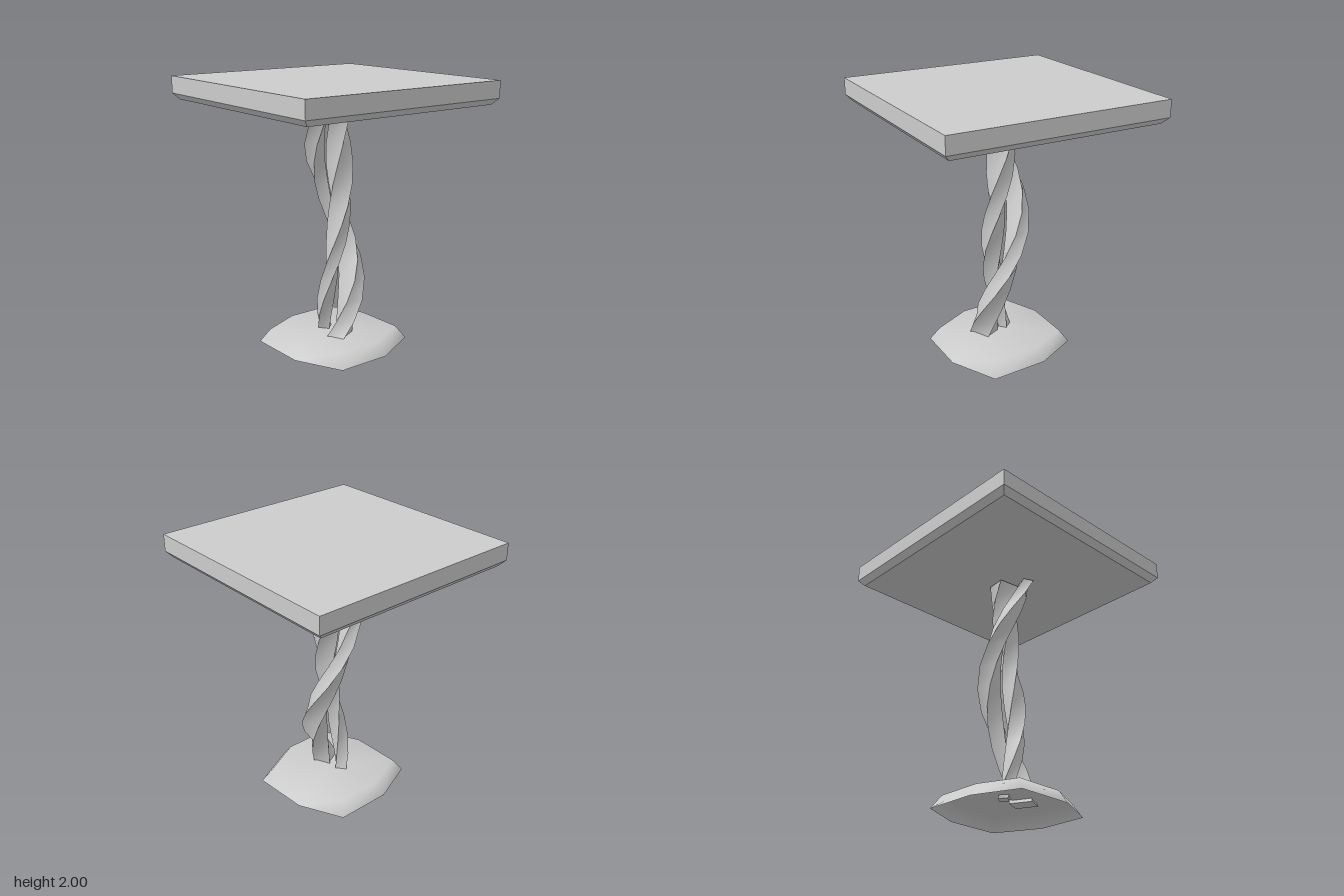
import * as THREE from 'three';
import { mergeGeometries } from 'three/addons/utils/BufferGeometryUtils.js';

const grey = new THREE.MeshStandardMaterial({ color: 0xcccccc });
const flat = new THREE.MeshStandardMaterial({ color: 0xcccccc, flatShading: true });
const twoSided = new THREE.MeshStandardMaterial({ color: 0xcccccc, side: THREE.DoubleSide });

const AXIS = 0.015; // the stem's twist axis sits at x = z = AXIS
const Y0 = 0.1, Y1 = 1.82, TWIST = -Math.PI; // radians per unit of height

function makeGeometry(positions, indices) {
  const g = new THREE.BufferGeometry();
  g.setAttribute('position', new THREE.Float32BufferAttribute(positions, 3));
  g.setIndex(indices);
  g.computeVertexNormals();
  return g;
}

// Rectangular bar twisted round the axis; centre and scale run from bottom to top
function twistedBar({ size, angle, from, to, scale }) {
  const segments = 12, bottom = 0.07;
  const corners = [[-1, 1], [1, 1], [1, -1], [-1, -1]];
  const rings = [];
  for (let i = 0; i <= segments; i++) {
    const y = bottom + (Y1 - bottom) * i / segments;
    const t = (y - Y0) / (Y1 - Y0);
    const k = THREE.MathUtils.lerp(scale[0], scale[1], t) / 2;
    const centre = new THREE.Vector2(...from).lerp(new THREE.Vector2(...to), t);
    rings.push(corners.map(([u, v]) => {
      const p = new THREE.Vector2(u * size[0] * k, v * size[1] * k)
        .rotateAround(new THREE.Vector2(), angle)
        .add(centre)
        .rotateAround(new THREE.Vector2(), TWIST * (y - Y0));
      return [p.x + AXIS, y, p.y + AXIS];
    }));
  }
  // each side is its own strip, so it is smooth along and sharp across
  const pieces = corners.map((_, c) => {
    const pos = [], idx = [];
    rings.forEach((ring, i) => {
      pos.push(...ring[c], ...ring[(c + 1) % 4]);
      if (i < segments) {
        const a = i * 2;
        idx.push(a, a + 1, a + 3, a, a + 3, a + 2);
      }
    });
    return makeGeometry(pos, idx);
  });
  pieces.push(makeGeometry(rings[segments].flat(), [0, 1, 2, 0, 2, 3]));
  pieces.push(makeGeometry(rings[0].flat(), [0, 2, 1, 0, 3, 2]));
  return mergeGeometries(pieces);
}

// Open-bottomed, uneven eight-sided foot with a softly shaded rim
function footGeometry() {
  const outline = [[-0.27, 0.475], [0.13, 0.48], [0.48, 0.31], [0.455, -0.12],
    [0.295, -0.445], [-0.12, -0.45], [-0.455, -0.31], [-0.44, 0.135]];
  const n = outline.length, pos = [], idx = [];
  outline.forEach(([x, z]) => pos.push(x, 0, z));
  outline.forEach(([x, z]) => pos.push(x * 0.857, 0.097, z * 0.857));
  pos.push(0.01, 0.097, 0.01);
  for (let i = 0; i < n; i++) {
    const j = (i + 1) % n;
    idx.push(i, j, n + j, i, n + j, n + i, 2 * n, n + i, n + j);
  }
  return makeGeometry(pos, idx);
}

export function createModel() {
  const group = new THREE.Group();
  const add = (name, geometry, material) => {
    const mesh = new THREE.Mesh(geometry, material);
    mesh.name = name;
    group.add(mesh);
  };

  // square top with a chamfered lower edge
  const r = Math.SQRT2;
  const profile = [[0, 1.83], [0.79 * r, 1.83], [0.83 * r, 1.875], [0.83 * r, 2], [0, 2]]
    .map(([x, y]) => new THREE.Vector2(x, y));
  add('tableTop', new THREE.LatheGeometry(profile, 4, Math.PI / 4), flat);

  // two intertwined bars, tapering in opposite directions
  add('outerStem', twistedBar({
    size: [0.168, 0.135], angle: -Math.PI / 6,
    from: [-0.0375, 0.115], to: [-0.045, 0.148], scale: [1, 0.6],
  }), grey);
  add('innerStem', twistedBar({
    size: [0.142, 0.177], angle: THREE.MathUtils.degToRad(-43.5),
    from: [-0.045, -0.07], to: [0.004, -0.023], scale: [0.5, 1],
  }), grey);

  add('foot', footGeometry(), twoSided);
  return group;
}
